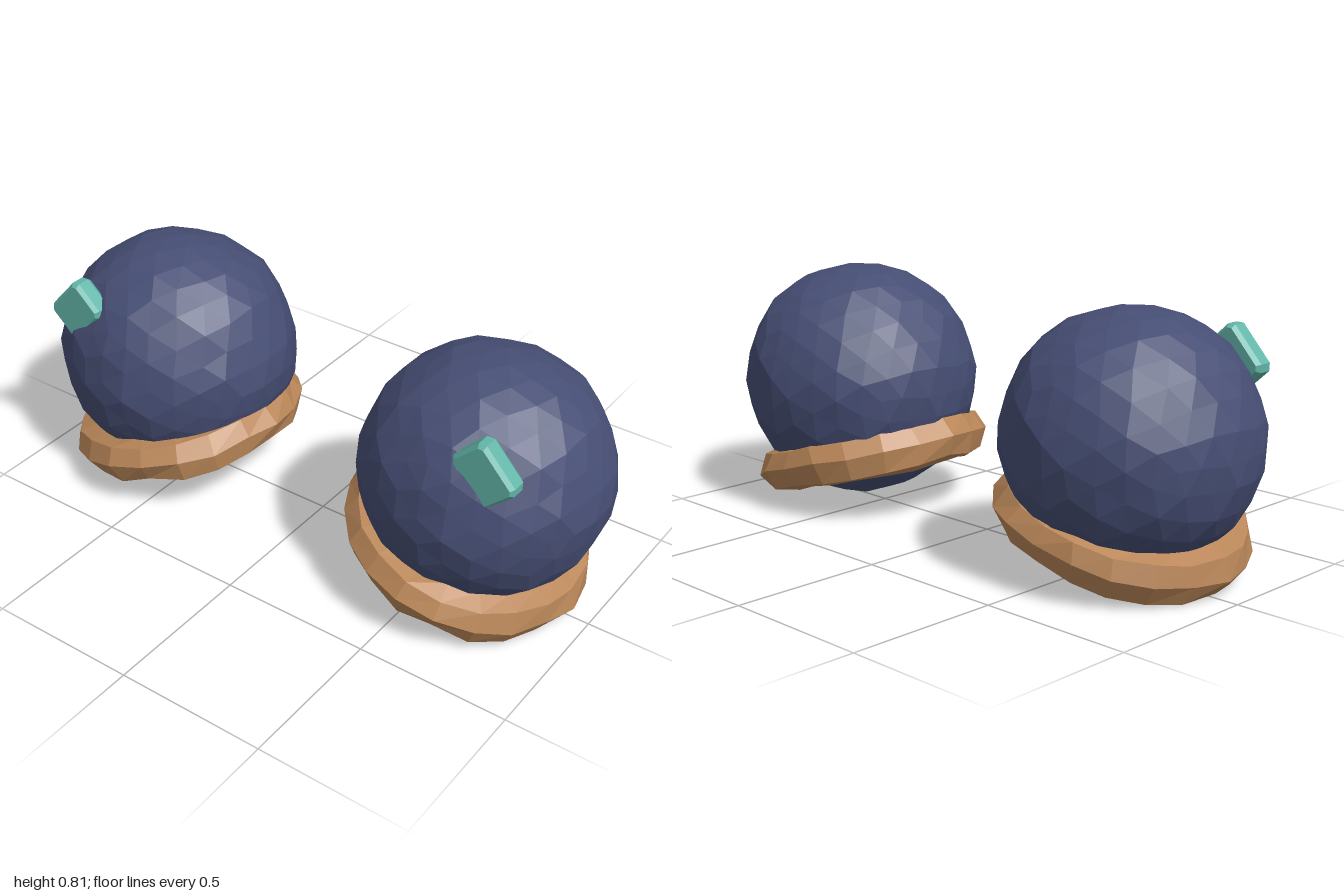
import * as THREE from 'three';
import { mergeVertices } from 'three/addons/utils/BufferGeometryUtils.js';

const mat = (color) => new THREE.MeshStandardMaterial({ color, flatShading: true, roughness: 0.9 });

// Nudges welded vertices by a small seeded amount for a hand-cut, faceted look
function roughen(geometry, amount, seed) {
  let state = seed;
  const rand = () => {
    state = (state * 16807) % 2147483647;
    return (state / 2147483647 - 0.5) * 2 * amount;
  };
  geometry.deleteAttribute('normal');
  geometry.deleteAttribute('uv');
  const g = mergeVertices(geometry, 1e-4);
  const p = g.attributes.position;
  for (let i = 0; i < p.count; i++) {
    p.setXYZ(i, p.getX(i) + rand(), p.getY(i) + rand(), p.getZ(i) + rand());
  }
  const flat = g.toNonIndexed();
  flat.computeVertexNormals();
  return flat;
}

function part(name, geometry, material, x, y, z, tilt = 0) {
  const mesh = new THREE.Mesh(geometry, material);
  mesh.name = name;
  mesh.position.set(x, y, z);
  mesh.rotation.z = tilt;
  return mesh;
}

export function createModel() {
  const model = new THREE.Group();
  model.name = 'eyes';
  const navy = mat(0x464e74);
  const tan = mat(0xb98658);
  const teal = mat(0x62b5a8);

  // Faceted ball
  const ball = roughen(new THREE.IcosahedronGeometry(0.395, 4), 0.006, 17);

  // Chunky ring lying flat before it is tilted
  const ring = roughen(new THREE.TorusGeometry(0.322, 0.08, 7, 20).rotateX(Math.PI / 2), 0.008, 91);

  // Chamfered glint block
  const w = 0.08, h = 0.062, c = 0.012;
  const outline = new THREE.Shape([
    [-w + c, -h], [w - c, -h], [w, -h + c], [w, h - c],
    [w - c, h], [-w + c, h], [-w, h - c], [-w, -h + c],
  ].map(([x, y]) => new THREE.Vector2(x, y)));
  const glint = new THREE.ExtrudeGeometry(outline, {
    depth: 0.042, bevelThickness: 0.014, bevelSize: 0.01, bevelSegments: 1,
  });
  glint.translate(0, 0, -0.021);

  // The two eyes mirror each other across x = 0
  for (const [name, s] of [['leftEye', 1], ['rightEye', -1]]) {
    const eye = new THREE.Group();
    eye.name = name;
    eye.add(
      part('eyeball', ball, navy, s * 0.605, 0.421, -0.008),
      part('lowerLid', ring, tan, s * 0.565, 0.163, 0.01, -s * 0.28),
      part('glint', glint, teal, s * 0.767, 0.642, 0.28, -s * 0.83),
    );
    model.add(eye);
  }
  return model;
}
